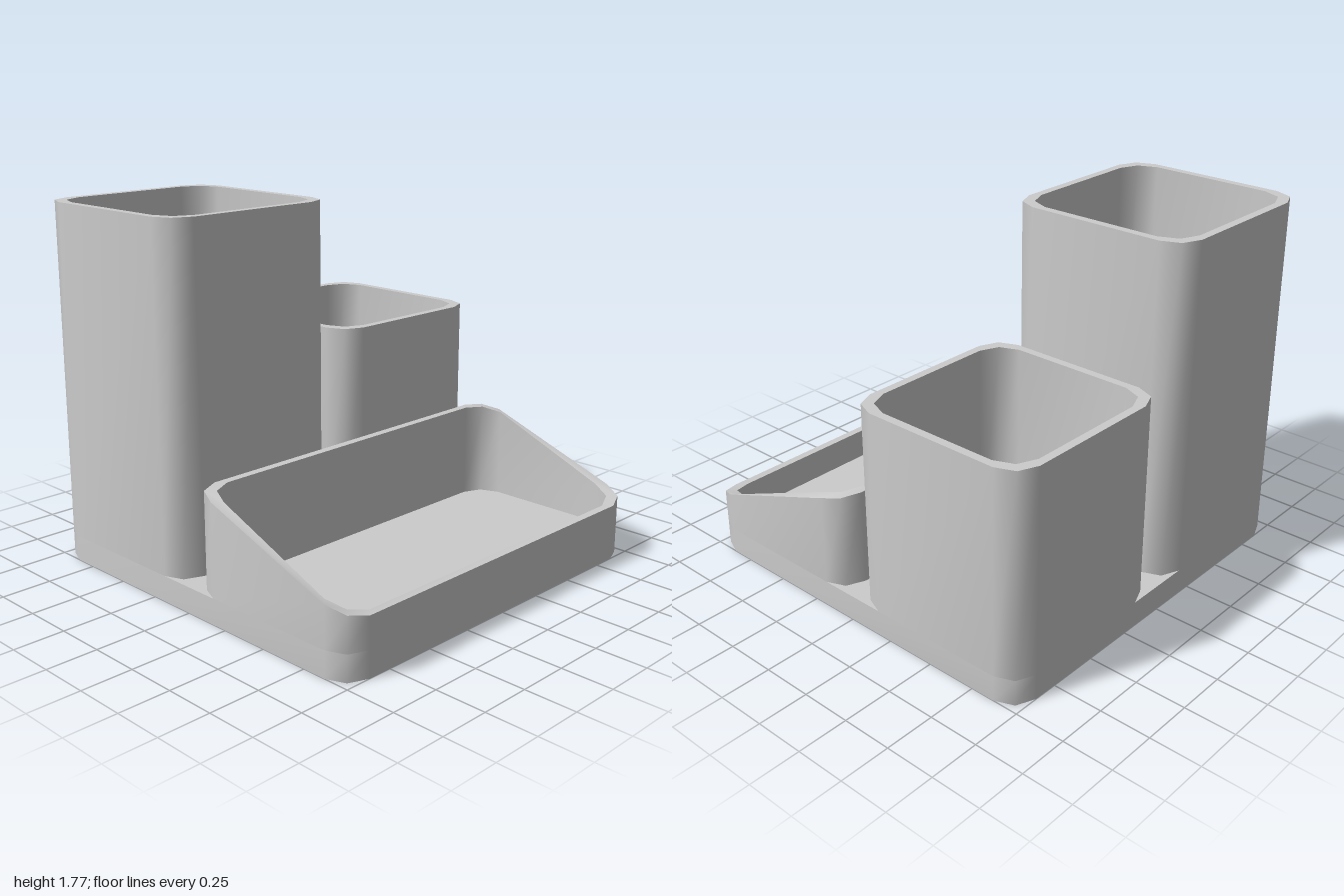
import * as THREE from 'three';
import { toCreasedNormals } from 'three/addons/utils/BufferGeometryUtils.js';

const RADIUS = 0.13, WALL = 0.04, BASE_TOP = 0.127, GAP = 0.045;

// Rounded rectangle as 12 points (two facets per corner), counter-clockwise from above.
function ring(x0, x1, z0, z1, y, inset = 0) {
  const pts = [];
  for (let k = 0; k < 4; k++) {
    const cx = k === 0 || k === 3 ? x1 - inset - RADIUS : x0 + inset + RADIUS;
    const cz = k < 2 ? z0 + inset + RADIUS : z1 - inset - RADIUS;
    for (let i = 0; i < 3; i++) {
      const a = (k + i / 2) * Math.PI / 2;
      pts.push(new THREE.Vector3(cx + RADIUS * Math.cos(a), y, cz - RADIUS * Math.sin(a)));
    }
  }
  return pts;
}

// Skins a list of rings, optionally closing both ends with flat caps.
function loft(name, rings, capped) {
  const n = rings[0].length, pos = [];
  const tri = (...v) => v.forEach(p => pos.push(p.x, p.y, p.z));
  for (let r = 0; r < rings.length - 1; r++) {
    for (let j = 0; j < n; j++) {
      const k = (j + 1) % n, lo = rings[r], hi = rings[r + 1];
      tri(lo[j], lo[k], hi[k]);
      tri(lo[j], hi[k], hi[j]);
    }
  }
  if (capped) {
    const first = rings[0], last = rings[rings.length - 1];
    const low = new THREE.Vector3(0, first[0].y, 0), high = new THREE.Vector3(0, last[0].y, 0);
    for (let j = 0; j < n; j++) {
      const k = (j + 1) % n;
      tri(low, first[k], first[j]);
      tri(high, last[j], last[k]);
    }
  }
  const geo = new THREE.BufferGeometry();
  geo.setAttribute('position', new THREE.Float32BufferAttribute(pos, 3));
  const mesh = new THREE.Mesh(toCreasedNormals(geo, 0.9),
    new THREE.MeshStandardMaterial({ color: 0xcccccc }));
  mesh.name = name;
  return mesh;
}

// Hollow compartment standing on the base; topAt gives the rim height at a depth z.
function compartment(name, x0, x1, z0, z1, topAt) {
  const outerLow = ring(x0, x1, z0, z1, BASE_TOP);
  const outerTop = ring(x0, x1, z0, z1, 0);
  const innerTop = ring(x0, x1, z0, z1, 0, WALL);
  const innerLow = ring(x0, x1, z0, z1, BASE_TOP, WALL);
  outerTop.forEach((p, i) => { p.y = innerTop[i].y = topAt(p.z); });
  return loft(name, [outerLow, outerTop, innerTop, innerLow], false);
}

// Tray rim: a long slope that eases off at the back.
const SLOPE = [[0.045, 0.603], [0.083, 0.597], [0.175, 0.578], [0.87, 0.328], [0.962, 0.297], [1, 0.28]];
function trayTop(z) {
  const i = Math.max(1, SLOPE.findIndex(s => z <= s[0] + 1e-6));
  const [za, ya] = SLOPE[i - 1], [zb, yb] = SLOPE[i];
  return THREE.MathUtils.lerp(ya, yb, (z - za) / (zb - za));
}

export function createModel() {
  const group = new THREE.Group();
  group.name = 'deskOrganizer';

  // Base plate with a shallow recess underneath
  group.add(loft('base', [
    ring(-1, 1, -1, 1, 0.04, 0.06),
    ring(-1, 1, -1, 1, 0, 0.06),
    ring(-1, 1, -1, 1, 0),
    ring(-1, 1, -1, 1, BASE_TOP),
  ], true));

  // Two pen cups at the back, sloped tray at the front
  group.add(compartment('tallCup', -1, -GAP, -1, -GAP, () => 1.775));
  group.add(compartment('shortCup', GAP, 1, -1, -GAP, () => 1.125));
  group.add(compartment('frontTray', -1, 1, GAP, 1, trayTop));
  return group;
}
